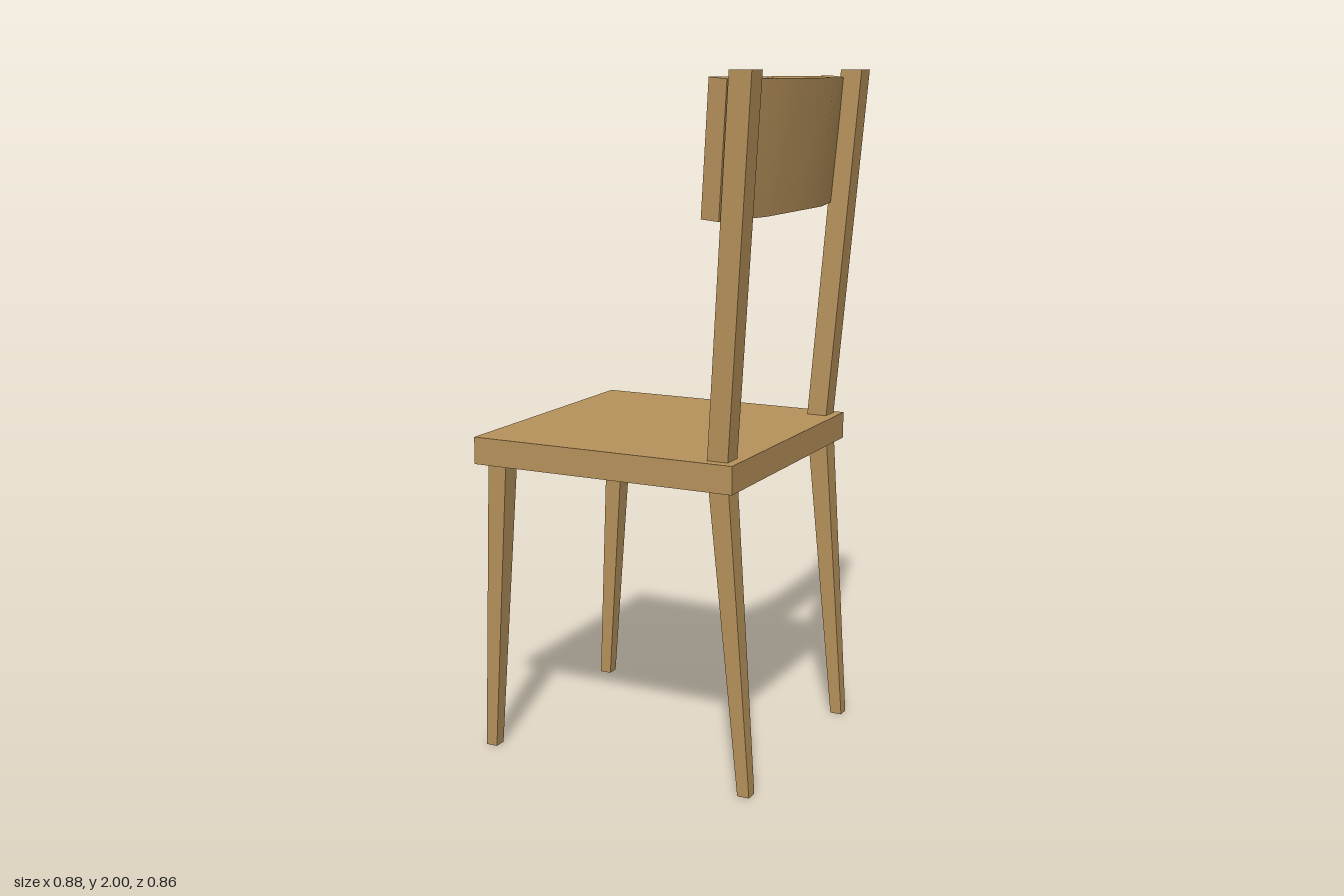
import * as THREE from 'three';

const wood = new THREE.MeshStandardMaterial({ color: 0xb8935c });
wood.name = 'wood';

// Moves every vertex of a unit box by a rule; u, v, w run from 0 to 1 along x, y, z.
function shapedBox(name, rule, depthSegments = 1) {
  const geometry = new THREE.BoxGeometry(1, 1, 1, 1, 1, depthSegments);
  const p = geometry.attributes.position;
  for (let i = 0; i < p.count; i++) {
    p.setXYZ(i, ...rule(p.getX(i) + 0.5, p.getY(i) + 0.5, p.getZ(i) + 0.5));
  }
  geometry.computeVertexNormals();
  const mesh = new THREE.Mesh(geometry, wood);
  mesh.name = name;
  return mesh;
}

// Tapered, leaning bar between two rectangles given as [x0, x1, z0, z1].
function taperedBar(name, y0, bottom, y1, top) {
  const mix = THREE.MathUtils.lerp;
  return shapedBox(name, (u, v, w) => {
    const [x0, x1, z0, z1] = bottom.map((b, i) => mix(b, top[i], v));
    return [mix(x0, x1, u), mix(y0, y1, v), mix(z0, z1, w)];
  });
}

export function createModel() {
  const chair = new THREE.Group();
  chair.name = 'chair';

  // Square seat board
  const seat = new THREE.Mesh(new THREE.BoxGeometry(0.82, 0.08, 0.82), wood);
  seat.name = 'seat';
  seat.position.set(-0.022, 0.92, 0.01);
  chair.add(seat);

  // Legs and back posts, one of each per side
  for (const side of [-1, 1]) {
    const label = side > 0 ? 'Near' : 'Far';
    const span = (inner, outer) =>
      (side > 0 ? [inner, outer] : [-outer, -inner]).map((z) => z + 0.002);
    chair.add(
      taperedBar('frontLeg' + label, 0, [-0.443, -0.407, ...span(0.335, 0.372)],
        0.88, [-0.405, -0.346, ...span(0.325, 0.387)]),
      taperedBar('backLeg' + label, 0, [0.39, 0.426, ...span(0.335, 0.372)],
        0.88, [0.304, 0.364, ...span(0.325, 0.387)]),
      taperedBar('backPost' + label, 0.96, [0.299, 0.361, ...span(0.325, 0.387)],
        2, [0.375, 0.44, ...span(0.359, 0.427)]),
    );
  }

  // Backrest, bowed backward in the middle and leaning with the posts
  const stations = [-0.42, -0.193, 0.003, 0.2, 0.418];
  chair.add(shapedBox('backrest', (u, v, w) => {
    const i = Math.round(w * 4);
    const atEnd = i === 0 || i === 4;
    const x = 0.288 + 0.029 * v + 0.052 * u + (atEnd ? 0 : 0.047);
    const flare = atEnd ? Math.sign(stations[i]) * 0.008 * (2 * v - 1) : 0;
    return [x, 1.614 + 0.368 * v - 0.005 * u, stations[i] + flare];
  }, 4));

  return chair;
}
